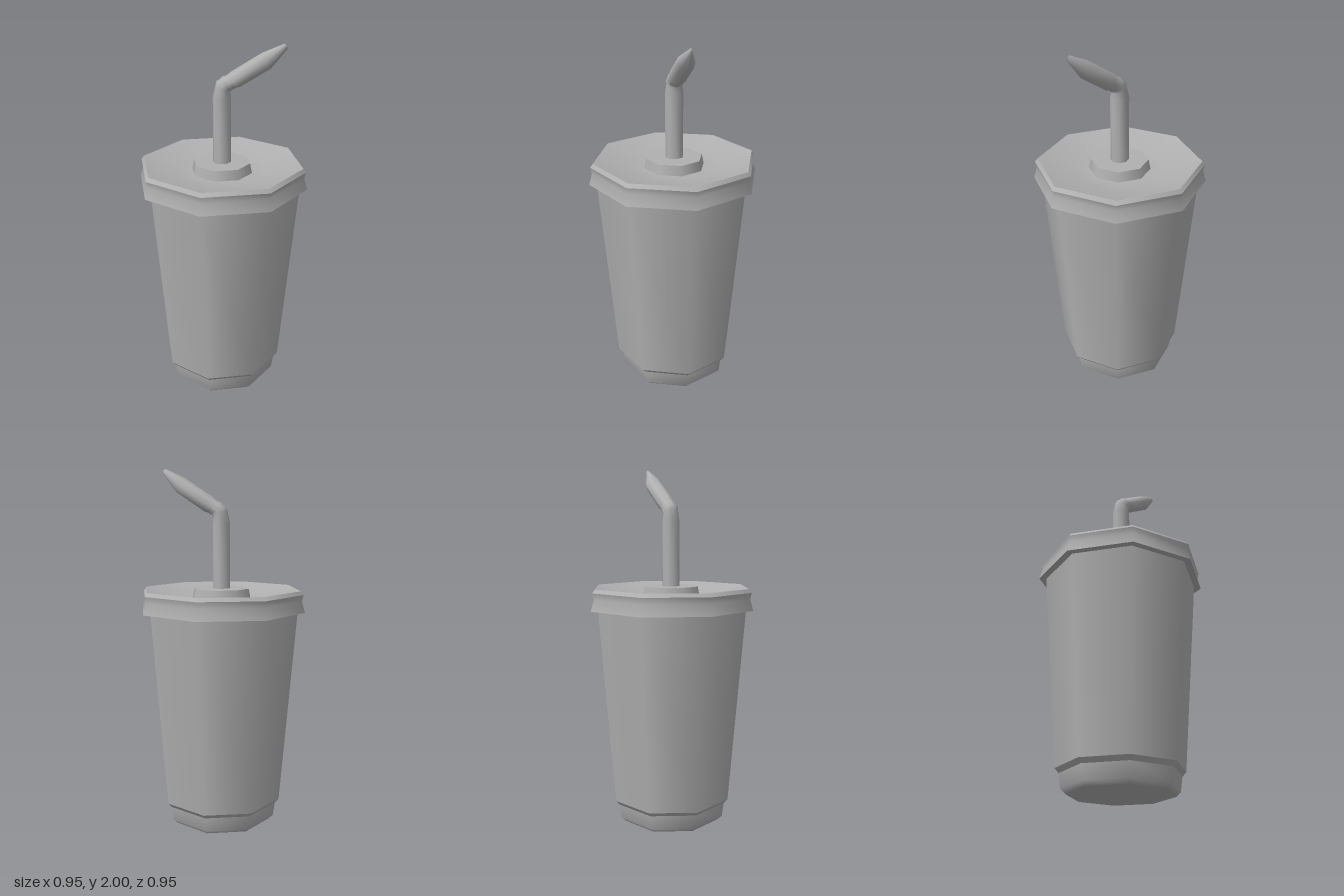
import * as THREE from 'three';
import { mergeGeometries } from 'three/addons/utils/BufferGeometryUtils.js';

const SIDES = 8;

// Eight-sided turned shape: each run of [radius, y] is smooth, runs meet in a crease.
function turned(name, runs, material) {
  const parts = runs.map((run) =>
    new THREE.LatheGeometry(run.map(([r, y]) => new THREE.Vector2(r, y)), SIDES));
  const mesh = new THREE.Mesh(mergeGeometries(parts), material);
  mesh.name = name;
  return mesh;
}

// Tube through rings lying in the XY plane: [x, y, heading in degrees, in-plane radius, z radius]
function ringTube(rings) {
  const pos = [], idx = [];
  rings.forEach(([x, y, deg, rn, rz], i) => {
    const a = THREE.MathUtils.degToRad(deg);
    for (let j = 0; j < SIDES; j++) {
      const t = (j / SIDES) * Math.PI * 2;
      const n = rn * Math.cos(t);
      pos.push(x - Math.sin(a) * n, y + Math.cos(a) * n, rz * Math.sin(t));
      if (i === 0) continue;
      const k = (j + 1) % SIDES;
      const a0 = (i - 1) * SIDES + j, a1 = (i - 1) * SIDES + k;
      const b0 = i * SIDES + j, b1 = i * SIDES + k;
      idx.push(a0, a1, b0, a1, b1, b0);
    }
  });
  // End cap
  const last = (rings.length - 1) * SIDES;
  for (let j = 1; j < SIDES - 1; j++) idx.push(last, last + j, last + j + 1);
  const g = new THREE.BufferGeometry();
  g.setAttribute('position', new THREE.Float32BufferAttribute(pos, 3));
  g.setIndex(idx);
  g.computeVertexNormals();
  return g;
}

export function createModel() {
  const grey = new THREE.MeshStandardMaterial({ color: 0xb0b0b0, side: THREE.DoubleSide });
  grey.name = 'plain grey';
  const model = new THREE.Group();
  model.name = 'drinkCup';

  // Tapered cup with a narrower stepped foot
  model.add(turned('cup', [
    [[0, 0], [0.285, 0], [0.312, 0.025], [0.323, 0.105]],
    [[0.323, 0.105], [0.345, 0.13]],
    [[0.345, 0.13], [0.435, 1.23]],
  ], grey));

  // Lid: underside, flared skirt, bevelled rim, dished top
  model.add(turned('lid', [
    [[0.43, 1.222], [0.475, 1.222]],
    [[0.475, 1.222], [0.457, 1.285], [0.466, 1.32]],
    [[0.466, 1.32], [0.45, 1.34]],
    [[0.45, 1.34], [0.26, 1.29], [0.165, 1.29]],
  ], grey));

  // Raised boss around the straw
  model.add(turned('lidBoss', [
    [[0.17, 1.285], [0.158, 1.345]],
    [[0.158, 1.345], [0, 1.345]],
  ], grey));

  // Bent straw with a crinkled elbow and a pinched tip
  const straw = new THREE.Mesh(ringTube([
    [0, 1.33, 90, 0.05, 0.05],
    [0, 1.705, 90, 0.05, 0.05],
    [0.004, 1.752, 70, 0.042, 0.043],
    [0.012, 1.766, 60, 0.048, 0.049],
    [0.02, 1.775, 50, 0.04, 0.041],
    [0.034, 1.783, 42, 0.046, 0.048],
    [0.046, 1.789, 36, 0.039, 0.04],
    [0.072, 1.804, 33, 0.046, 0.049],
    [0.235, 1.91, 33, 0.046, 0.049],
    [0.333, 1.988, 38, 0.014, 0.006],
  ]), grey);
  straw.name = 'straw';
  model.add(straw);

  return model;
}
